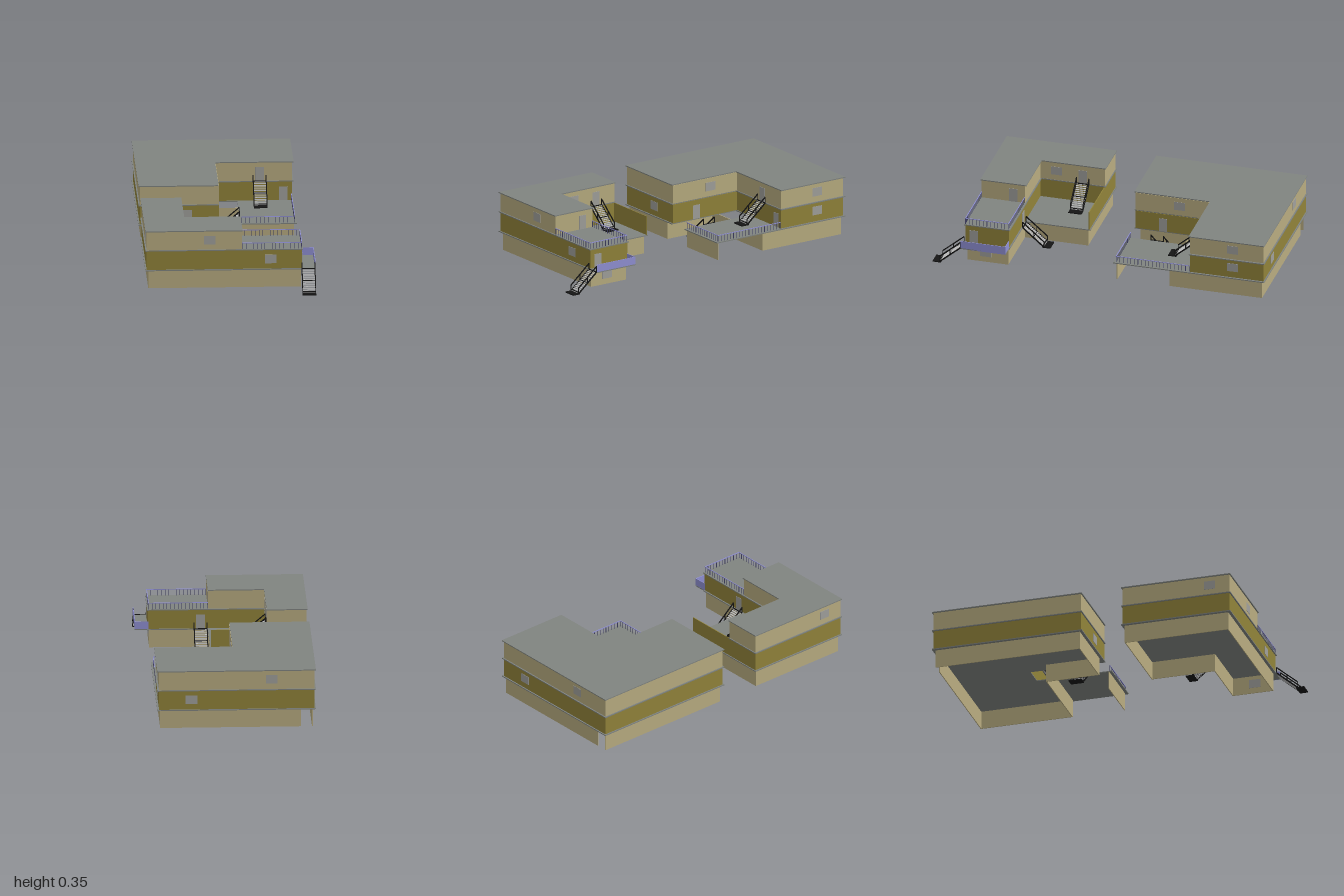
import * as THREE from 'three';

const mat = (color) => new THREE.MeshStandardMaterial({ color, side: THREE.DoubleSide });
const BEIGE = mat(0xb8ac80), OLIVE = mat(0x91833a), BLUE = mat(0x9090d4), SLAB = mat(0x808480);
const GLASS = mat(0xa0a09c), BLACK = mat(0x151515), TREAD = mat(0xb8b8b8), RAIL = mat(0x44446a);

// Storey levels: underside and top of each slab
const L1 = 0.115, L2 = 0.235, ROOF = 0.353, T = 0.006;

function box(parent, name, m, w, h, d, x, y, z) {
  const mesh = new THREE.Mesh(new THREE.BoxGeometry(w, h, d), m);
  mesh.name = name;
  mesh.position.set(x, y, z);
  parent.add(mesh);
  return mesh;
}

// Flat slab from an [x, z] outline, its top face at y
function slab(parent, name, pts, y) {
  const shape = new THREE.Shape(pts.map(([x, z]) => new THREE.Vector2(x, z)));
  const g = new THREE.ExtrudeGeometry(shape, { depth: T, bevelEnabled: false });
  g.rotateX(Math.PI / 2);
  const mesh = new THREE.Mesh(g, SLAB);
  mesh.name = name;
  mesh.position.y = y;
  parent.add(mesh);
}

// Thin walls following an [x, z] path between two heights
function walls(parent, name, m, pts, y0, y1, thick = 0.005) {
  const group = new THREE.Group();
  group.name = name;
  for (let i = 0; i < pts.length - 1; i++) {
    const [ax, az] = pts[i], [bx, bz] = pts[i + 1];
    box(group, 'wall', m, Math.abs(bx - ax) + thick, y1 - y0, Math.abs(bz - az) + thick,
      (ax + bx) / 2, (y0 + y1) / 2, (az + bz) / 2);
  }
  parent.add(group);
}

// Window or door panel; facing is the axis it looks along
function panel(parent, name, facing, x, y, z, w = 0.068, h = 0.052) {
  const t = 0.009;
  box(parent, name, GLASS, facing === 'x' ? t : w, h, facing === 'x' ? w : t, x, y, z);
}
const door = (parent, facing, x, floor, z) => panel(parent, 'door', facing, x, floor + 0.042, z, 0.05, 0.084);

// Railing with closely set balusters along an [x, z] path
function railing(parent, pts, y) {
  const group = new THREE.Group();
  group.name = 'railing';
  for (let i = 0; i < pts.length - 1; i++) {
    const [ax, az] = pts[i], [bx, bz] = pts[i + 1];
    const len = Math.hypot(bx - ax, bz - az), n = Math.round(len / 0.022);
    box(group, 'handrail', BLUE, Math.abs(bx - ax) + 0.004, 0.004, Math.abs(bz - az) + 0.004,
      (ax + bx) / 2, y + 0.037, (az + bz) / 2);
    for (let k = 0; k <= n; k++)
      box(group, 'baluster', RAIL, 0.0025, 0.037, 0.0025, ax + (bx - ax) * k / n, y + 0.0185, az + (bz - az) * k / n);
  }
  parent.add(group);
}

// One-storey stair: top edge at the local origin, descending along +z
function stair(parent, x, y, z, turn) {
  const s = new THREE.Group();
  s.name = 'stair';
  const run = 0.13, rise = L1 - 0.004, slope = Math.atan2(rise, run), len = Math.hypot(run, rise);
  const steps = 14;
  for (let i = 0; i < steps; i++) {
    const t = (i + 0.5) / steps;
    box(s, 'tread', TREAD, 0.074, 0.003, run / steps + 0.001, 0, -rise * t, run * t);
  }
  for (const t of [0.02, 0.5, 0.96])
    box(s, 'crossbar', BLACK, 0.08, 0.005, 0.006, 0, -rise * t + 0.002, run * t);
  for (const side of [-0.038, 0.038]) {
    box(s, 'stringer', BLACK, 0.004, 0.008, len, side, -rise / 2, run / 2).rotation.x = slope;
    box(s, 'handrail', BLACK, 0.005, 0.006, len, side, 0.035 - rise / 2, run / 2).rotation.x = slope;
    for (const t of [0, 0.5, 1])
      box(s, 'post', BLACK, 0.004, 0.037, 0.004, side, 0.0175 - rise * t, run * t);
  }
  box(s, 'footPad', BLACK, 0.08, 0.006, 0.05, 0, 0.003 - L1, 0.145);
  s.position.set(x, y, z);
  s.rotation.y = turn;
  parent.add(s);
}

function rearBuilding() {
  const b = new THREE.Group();
  b.name = 'rearBuilding';
  const floorPlan = [[-0.5, -1], [0.43, -1], [0.43, -0.54], [-0.03, -0.54], [-0.03, -0.08], [-0.5, -0.08]];
  const upper = [[-0.49, -0.99], [0.417, -0.99], [0.417, -0.548], [-0.03, -0.548], [-0.03, -0.09], [-0.49, -0.09], [-0.49, -0.99]];
  // Ground storey stands back from the inner court and leaves a gap at the back corner
  walls(b, 'groundWalls', BEIGE, [[-0.41, -0.98], [0.41, -0.98], [0.41, -0.42], [-0.1, -0.42], [-0.1, -0.1],
    [-0.48, -0.1], [-0.48, -0.98]], 0, L1 - T);
  walls(b, 'deckSupportWall', BEIGE, [[0.1, -0.1], [0.41, -0.1]], 0, L1 - T);
  walls(b, 'middleWalls', OLIVE, upper, L1, L2 - T);
  walls(b, 'topWalls', BEIGE, upper, L2, ROOF - T);
  slab(b, 'firstSlab', floorPlan, L1);
  slab(b, 'secondSlab', floorPlan, L2);
  slab(b, 'roof', floorPlan, ROOF);
  // Court deck with its railing and stairs
  slab(b, 'deck', [[0.1, -0.54], [0.43, -0.54], [0.43, -0.08], [0.1, -0.08]], L1);
  railing(b, [[0.105, -0.095], [0.417, -0.095], [0.417, -0.54]], L1);
  stair(b, 0.23, L2, -0.54, 0);
  stair(b, 0.1, L1, -0.255, -Math.PI / 2);
  // Windows and doors
  for (const y of [0.18, 0.295]) panel(b, 'window', 'x', 0.417, y, -0.805);
  panel(b, 'window', 'x', -0.03, 0.295, -0.355);
  panel(b, 'window', 'z', -0.22, 0.175, -0.09);
  panel(b, 'window', 'z', 0.23, 0.175, -0.99);
  panel(b, 'window', 'z', -0.24, 0.295, -0.99);
  door(b, 'x', -0.03, L1, -0.255);
  door(b, 'z', 0.37, L1, -0.548);
  door(b, 'z', 0.23, L2, -0.548);
  return b;
}

function frontBuilding() {
  const b = new THREE.Group();
  b.name = 'frontBuilding';
  // Ground storey
  walls(b, 'groundWalls', BEIGE, [[-0.48, 0.18], [0.05, 0.18], [0.05, 0.565], [0.41, 0.565], [0.41, 0.81],
    [-0.48, 0.81], [-0.48, 0.18]], 0, L1 - T);
  slab(b, 'firstSlab', [[-0.5, 0.16], [0.07, 0.16], [0.07, 0.55], [0.425, 0.55], [0.425, 0.83], [-0.5, 0.83]], L1);
  // Middle storey around the open terrace
  walls(b, 'middleWalls', OLIVE, [[0.065, 0.168], [-0.49, 0.168], [-0.49, 0.82], [0.417, 0.82], [0.417, 0.56],
    [-0.265, 0.56], [-0.265, 0.168]], L1, L2 - T);
  slab(b, 'secondSlab', [[-0.5, 0.16], [-0.26, 0.16], [-0.26, 0.55], [0.425, 0.55], [0.425, 0.83], [-0.5, 0.83]], L2);
  // Top storey
  walls(b, 'topWalls', BEIGE, [[-0.49, 0.168], [-0.265, 0.168], [-0.265, 0.56], [0.065, 0.56], [0.065, 0.82],
    [-0.49, 0.82], [-0.49, 0.168]], L2, ROOF - T);
  slab(b, 'roof', [[-0.5, 0.16], [-0.26, 0.16], [-0.26, 0.55], [0.07, 0.55], [0.07, 0.83], [-0.5, 0.83]], ROOF);
  railing(b, [[0.07, 0.56], [0.417, 0.56], [0.417, 0.822], [0.07, 0.822]], L2);
  // Side porch with solid parapet
  slab(b, 'porchFloor', [[0.415, 0.555], [0.498, 0.555], [0.498, 0.83], [0.415, 0.83]], L1);
  walls(b, 'porchParapet', BLUE, [[0.418, 0.558], [0.496, 0.558], [0.496, 0.828]], L1 - T, 0.16, 0.004);
  // Stairs
  stair(b, 0.455, L1, 0.83, 0);
  stair(b, 0.112, L1, 0.55, Math.PI);
  stair(b, -0.26, L2, 0.3, Math.PI / 2);
  // Windows and doors
  panel(b, 'window', 'z', -0.122, 0.293, 0.82);
  panel(b, 'window', 'z', 0.236, 0.173, 0.82);
  panel(b, 'window', 'x', 0.41, 0.06, 0.7);
  panel(b, 'window', 'x', -0.265, 0.295, 0.46);
  panel(b, 'window', 'x', -0.49, 0.295, 0.7);
  door(b, 'x', 0.417, L1, 0.77);
  door(b, 'x', 0.065, L2, 0.63);
  door(b, 'x', -0.265, L2, 0.3);
  door(b, 'z', 0.112, L1, 0.56);
  return b;
}

export function createModel() {
  const model = new THREE.Group();
  model.name = 'buildingComplex';
  model.add(rearBuilding(), frontBuilding());
  return model;
}
